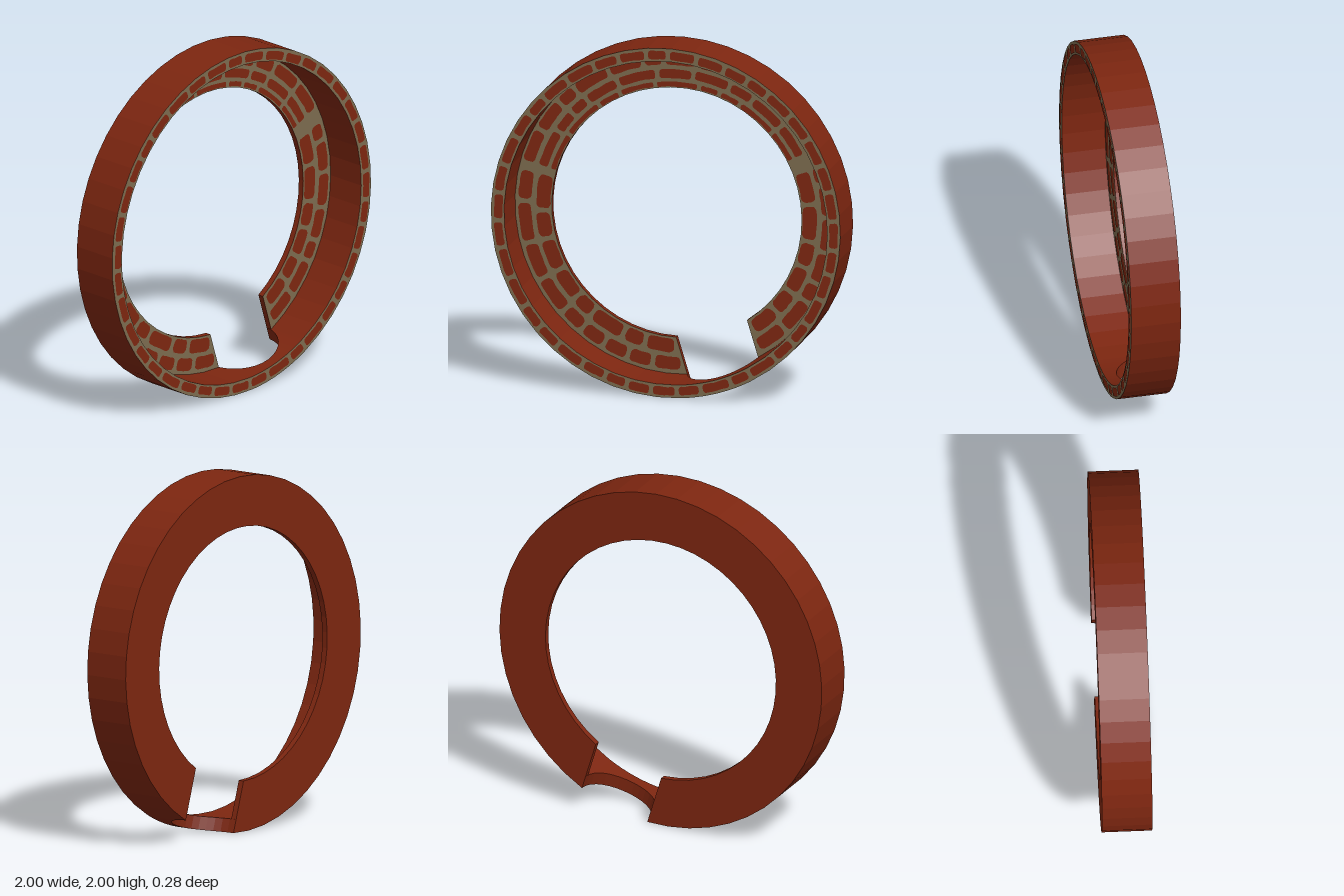
import * as THREE from 'three';
import { mergeGeometries } from 'three/addons/utils/BufferGeometryUtils.js';

const OUTER = 1, WALL = 0.925, HOLE = 0.715;     // ring radii
const BACK = -0.14, FRONT = 0.14, PLATE = 0.035; // depth
const SLOT = 0.212;                              // radius of the round cut at the back
const SLOT_DIR = THREE.MathUtils.degToRad(-73);
const TAU = Math.PI * 2;

let seed = 7;
const rand = () => (seed = (seed * 16807) % 2147483647) / 2147483647;

// Point on the ring; phi is measured counter-clockwise from the slot
const polar = (r, phi) => new THREE.Vector2(
  r * Math.cos(SLOT_DIR + phi), r * Math.sin(SLOT_DIR + phi));

function quadGeometry(quads) {
  const pos = [];
  for (const [a, b, c, d] of quads) for (const p of [a, b, c, a, c, d]) pos.push(...p);
  const g = new THREE.BufferGeometry();
  g.setAttribute('position', new THREE.Float32BufferAttribute(pos, 3));
  g.computeVertexNormals();
  return g;
}

// Outer wall from cross-sections, its back edge arched over the slot
function wallGeometries() {
  const slices = [];
  for (let i = 0; i <= 16; i++) {
    const t = (i / 16 - 0.5) * Math.PI, u = SLOT * Math.sin(t);
    slices.push([Math.asin(u / OUTER), Math.asin(u / WALL), BACK + SLOT * Math.cos(t)]);
  }
  const [eo, ei] = slices[16];
  for (let i = 1; i <= 45; i++) {
    const k = i / 45;
    slices.push([eo + (TAU - 2 * eo) * k, ei + (TAU - 2 * ei) * k, BACK]);
  }
  const sides = [], front = [];
  for (let i = 0; i < slices.length - 1; i++) {
    const [s, e] = [slices[i], slices[i + 1]].map(([o, n, z]) => {
      const po = polar(OUTER, o), pi = polar(WALL, n);
      return {
        ob: [po.x, po.y, z], of: [po.x, po.y, FRONT],
        ib: [pi.x, pi.y, z], if: [pi.x, pi.y, FRONT],
      };
    });
    sides.push([s.ob, e.ob, e.of, s.of], [s.if, e.if, e.ib, s.ib], [s.ib, e.ib, e.ob, s.ob]);
    front.push([s.of, e.of, e.if, s.if]);
  }
  return [quadGeometry(sides), quadGeometry(front)];
}

// C-shaped back plate with a parallel-sided gap
function plateShape() {
  const pts = [], n = 46, R = 0.93;
  const o = Math.asin(SLOT / R), h = Math.asin(SLOT / HOLE);
  for (let i = 0; i <= n; i++) pts.push(polar(R, o + (TAU - 2 * o) * i / n));
  for (let i = n; i >= 0; i--) pts.push(polar(HOLE, h + (TAU - 2 * h) * i / n));
  return new THREE.Shape(pts);
}

// One rounded, slightly uneven brick face bent along the ring
function brick(r0, r1, a0, a1, z) {
  const pts = [], rm = (r0 + r1) / 2, hr = (r1 - r0) / 2;
  const am = (a0 + a1) / 2, ha = (a1 - a0) / 2;
  const corner = Math.min(hr * 0.65, ha * rm * 0.6);
  for (const [sa, sr, start] of [[1, 1, 0], [-1, 1, 1], [-1, -1, 2], [1, -1, 3]]) {
    const ca = sa * (ha * rm - corner), cr = sr * (hr - corner);
    for (let i = 0; i <= 3; i++) {
      const t = (start + i / 3) * Math.PI / 2, c = corner * (0.85 + 0.15 * rand());
      pts.push([ca + c * Math.cos(t), cr + c * Math.sin(t)]);
    }
    // extra points keep the long edges curved
    if (start % 2 === 0) for (const k of [0.5, 0, -0.5])
      pts.push([sa * k * (ha * rm - corner), sr * (hr - 0.004 * rand())]);
  }
  const outline = pts.map(([u, v]) => polar(rm + v, am + u / rm));
  return new THREE.ShapeGeometry(new THREE.Shape(outline)).translate(0, 0, z);
}

// A course of bricks of varied length between two angles
function course(r0, r1, a0, a1, z, length, vary) {
  const rm = (r0 + r1) / 2, gap = 0.022 / rm;
  const n = Math.max(1, Math.round((a1 - a0) * rm / length));
  const sizes = Array.from({ length: n }, () => 1 + vary * (rand() - 0.5));
  const unit = (a1 - a0) / sizes.reduce((s, v) => s + v, 0);
  const out = [];
  let a = a0;
  for (const s of sizes) {
    const j = 0.006 * (rand() - 0.5);
    out.push(brick(r0 + j, r1 + j, a + gap / 2, a + s * unit - gap / 2, z));
    a += s * unit;
  }
  return out;
}

export function createModel() {
  const group = new THREE.Group();
  group.name = 'brickRing';
  const red = new THREE.MeshStandardMaterial({ color: 0x7d2610 });
  red.name = 'brick red';
  const grey = new THREE.MeshStandardMaterial({ color: 0x7c6b4e });
  grey.name = 'mortar';
  const add = (name, geometry, material) => {
    const m = new THREE.Mesh(geometry, material);
    m.name = name;
    m.position.y = 1;
    group.add(m);
  };

  // Solid parts and their mortar faces
  const [wall, rim] = wallGeometries();
  add('outerWall', wall, red);
  add('rimMortar', rim, grey);
  const plate = plateShape();
  add('backPlate', new THREE.ExtrudeGeometry(plate, { depth: PLATE, bevelEnabled: false })
    .translate(0, 0, BACK), red);
  const face = BACK + PLATE;
  add('plateMortar', new THREE.ShapeGeometry(plate).translate(0, 0, face + 0.0015), grey);

  // Rim bricks
  add('rimBricks', mergeGeometries(
    course(0.933, 0.985, 0.1, 0.1 + TAU, FRONT + 0.002, 0.155, 0.4)), red);

  // Plate bricks: two wide courses low on the sides, three over the top
  const wide = [[0.722, 0.806], [0.828, 0.905]];
  const narrow = [[0.717, 0.748], [0.768, 0.822], [0.843, 0.912]];
  const a = THREE.MathUtils.degToRad(93), b = THREE.MathUtils.degToRad(238);
  const bricks = [];
  for (const [r0, r1] of wide) {
    const edge = Math.asin(SLOT / r0);
    const shift = 0.12 * rand();
    bricks.push(...course(r0, r1, edge, a + shift, face + 0.003, 0.17, 0.7));
    bricks.push(...course(r0, r1, b + shift, TAU - edge, face + 0.003, 0.17, 0.7));
  }
  for (const [r0, r1] of narrow)
    bricks.push(...course(r0, r1, a + 0.12, b, face + 0.003, 0.2, 0.8));
  add('plateBricks', mergeGeometries(bricks), red);

  return group;
}
